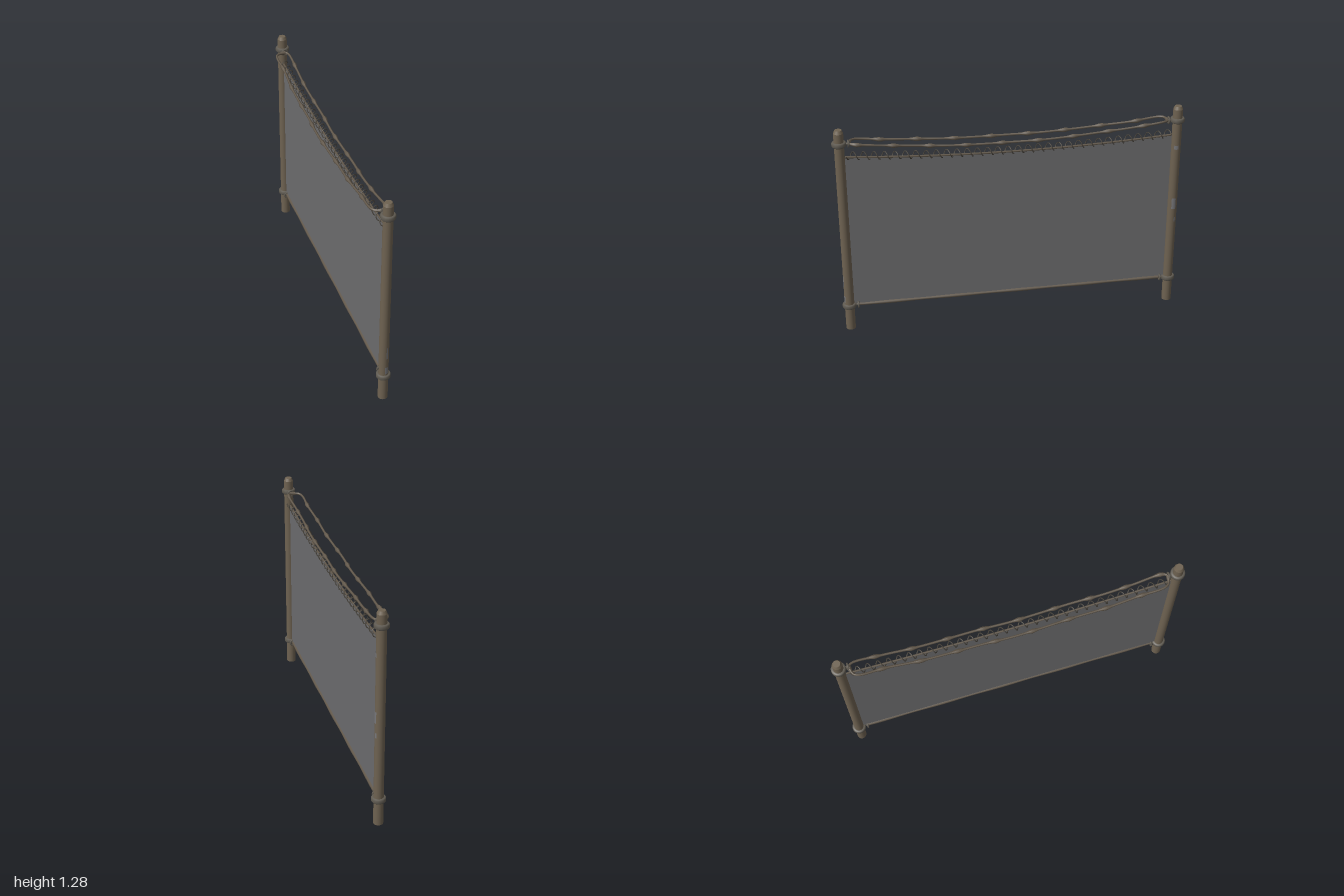
import * as THREE from 'three';

const X = 0.02, POST_Z = 0.96, TOP_Y = 1.195, LOW_Y = 0.155;

const mat = (name, color, side = THREE.FrontSide) => {
  const m = new THREE.MeshStandardMaterial({ color, side });
  m.name = name;
  return m;
};

// Tube along a curve whose thickness follows a rule thick(t)
function variedTube(curve, segments, radius, sides, thick) {
  const geo = new THREE.TubeGeometry(curve, segments, radius, sides, false);
  const pos = geo.attributes.position, v = new THREE.Vector3();
  for (let i = 0; i <= segments; i++) {
    const c = curve.getPointAt(i / segments), s = thick(i / segments);
    for (let j = 0; j <= sides; j++) {
      const k = i * (sides + 1) + j;
      v.fromBufferAttribute(pos, k).sub(c).multiplyScalar(s).add(c);
      pos.setXYZ(k, v.x, v.y, v.z);
    }
  }
  geo.computeVertexNormals();
  return geo;
}

export function createModel() {
  const model = new THREE.Group();
  const wood = mat('brown post paint', 0x6e6251);
  const bare = mat('worn grey metal', 0x77777a, THREE.DoubleSide);
  const clampMat = mat('clamp metal', 0x5f5a51);
  const ropeMat = mat('rope brown', 0x61574a);
  const wireMat = mat('dark lacing', 0x4a453d);
  const netMat = mat('grey netting', 0x6c6c6e, THREE.DoubleSide);

  const add = (parent, name, geo, material, x = 0, y = 0, z = 0) => {
    const mesh = new THREE.Mesh(geo, material);
    mesh.name = name;
    mesh.position.set(x, y, z);
    parent.add(mesh);
    return mesh;
  };

  // Profiles for the bevelled post and the rounded clamp band
  const postGeo = new THREE.LatheGeometry(
    [[0, 0], [0.028, 0], [0.028, 0], [0.028, 1.262], [0.028, 1.262], [0.02, 1.28], [0.02, 1.28], [0, 1.28]]
      .map(p => new THREE.Vector2(...p)), 18);
  const clampGeo = new THREE.LatheGeometry(
    [[0.026, -0.014], [0.036, -0.014], [0.041, -0.008], [0.041, 0.008], [0.036, 0.014], [0.026, 0.014]]
      .map(p => new THREE.Vector2(...p)), 18);

  for (const s of [1, -1]) {
    const post = new THREE.Group();
    post.name = s > 0 ? 'frontPost' : 'backPost';
    post.position.set(X, 0, s * POST_Z);
    model.add(post);
    add(post, 'pole', postGeo, wood);
    for (const y of [LOW_Y, TOP_Y]) {
      add(post, 'clampBand', clampGeo, clampMat, 0, y, 0);
      // Lug and eye ring that hold the ropes
      const lug = add(post, 'clampLug', new THREE.CylinderGeometry(0.008, 0.008, 0.035, 8), clampMat, 0, y, -s * 0.04);
      lug.rotation.x = Math.PI / 2;
      add(post, 'eyeRing', new THREE.TorusGeometry(0.017, 0.006, 6, 14), clampMat, 0, y, -s * 0.052);
    }
  }

  // Worn paint patches, thin curved shells: [post side, y, height, angle from +z, arc]
  const chips = [
    [1, 0.2, 0.045, 0.3, 0.7], [1, 0.32, 0.075, 0.35, 0.3],
    [-1, 0.665, 0.07, 1.6, 0.9], [-1, 1.03, 0.025, 1.4, 0.9], [-1, 0.56, 0.03, 2.0, 0.3],
  ];
  for (const [s, y, h, a, arc] of chips) {
    add(model, 'wornPatch',
      new THREE.CylinderGeometry(0.0285, 0.0285, h, 6, 1, true, a - arc / 2, arc), bare, X, y, s * POST_Z);
  }

  // Netting with a sagging top edge
  const topEdge = z => 1.073 + 0.035 * (z / 0.93) ** 2 + 0.006 * z;
  const net = new THREE.PlaneGeometry(1.868, 1, 32, 1);
  net.rotateY(Math.PI / 2);
  const np = net.attributes.position;
  for (let i = 0; i < np.count; i++) np.setY(i, np.getY(i) > 0 ? topEdge(np.getZ(i)) : LOW_Y);
  net.computeVertexNormals();
  add(model, 'netting', net, netMat, X, 0, 0);

  // Wire along the netting's top edge, and the lacing that coils around it
  const edgePts = [], coilPts = [];
  for (let i = 0; i <= 12; i++) {
    const z = -0.93 + 1.86 * i / 12;
    edgePts.push(new THREE.Vector3(X, topEdge(z), z));
  }
  const turns = 32, steps = turns * 8;
  for (let i = 0; i <= steps; i++) {
    const a = i / 8 * Math.PI * 2, z = -0.925 + 1.85 * i / steps;
    coilPts.push(new THREE.Vector3(X + 0.021 * Math.cos(a), topEdge(z) + 0.01 + 0.023 * Math.sin(a), z));
  }
  add(model, 'topEdgeWire', new THREE.TubeGeometry(new THREE.CatmullRomCurve3(edgePts), 32, 0.006, 6), ropeMat);
  add(model, 'coiledLacing', new THREE.TubeGeometry(new THREE.CatmullRomCurve3(coilPts), steps, 0.0032, 5), wireMat);

  // Pair of sagging ropes with swollen lumps
  const lumps = phase => t => 0.8 + 0.75 * Math.max(0, Math.cos(t * Math.PI * 18 + phase)) ** 4;
  const sideRope = (name, xEnd, xMid, yMid, phase) => {
    const pts = [new THREE.Vector3(X, TOP_Y, -0.905)];
    for (let i = 0; i <= 10; i++) {
      const u = -1 + i / 5;
      pts.push(new THREE.Vector3(
        xMid + (xEnd - xMid) * u * u + 0.003 * Math.sin(i * 2.1),
        yMid + (TOP_Y - yMid) * u * u, u * 0.885));
    }
    pts.push(new THREE.Vector3(X, TOP_Y, 0.905));
    add(model, name, variedTube(new THREE.CatmullRomCurve3(pts), 110, 0.0085, 7, lumps(phase)), ropeMat);
  };
  sideRope('rightTopRope', -0.034, -0.052, 1.143, 0);
  sideRope('leftTopRope', 0.035, 0.037, 1.138, 1.5);

  // Straight rope along the bottom of the netting
  const low = new THREE.LineCurve3(new THREE.Vector3(X, LOW_Y, -0.91), new THREE.Vector3(X, LOW_Y, 0.91));
  add(model, 'bottomRope', variedTube(low, 60, 0.009, 7, t => 1 + 0.15 * Math.sin(t * 30)), ropeMat);

  return model;
}
